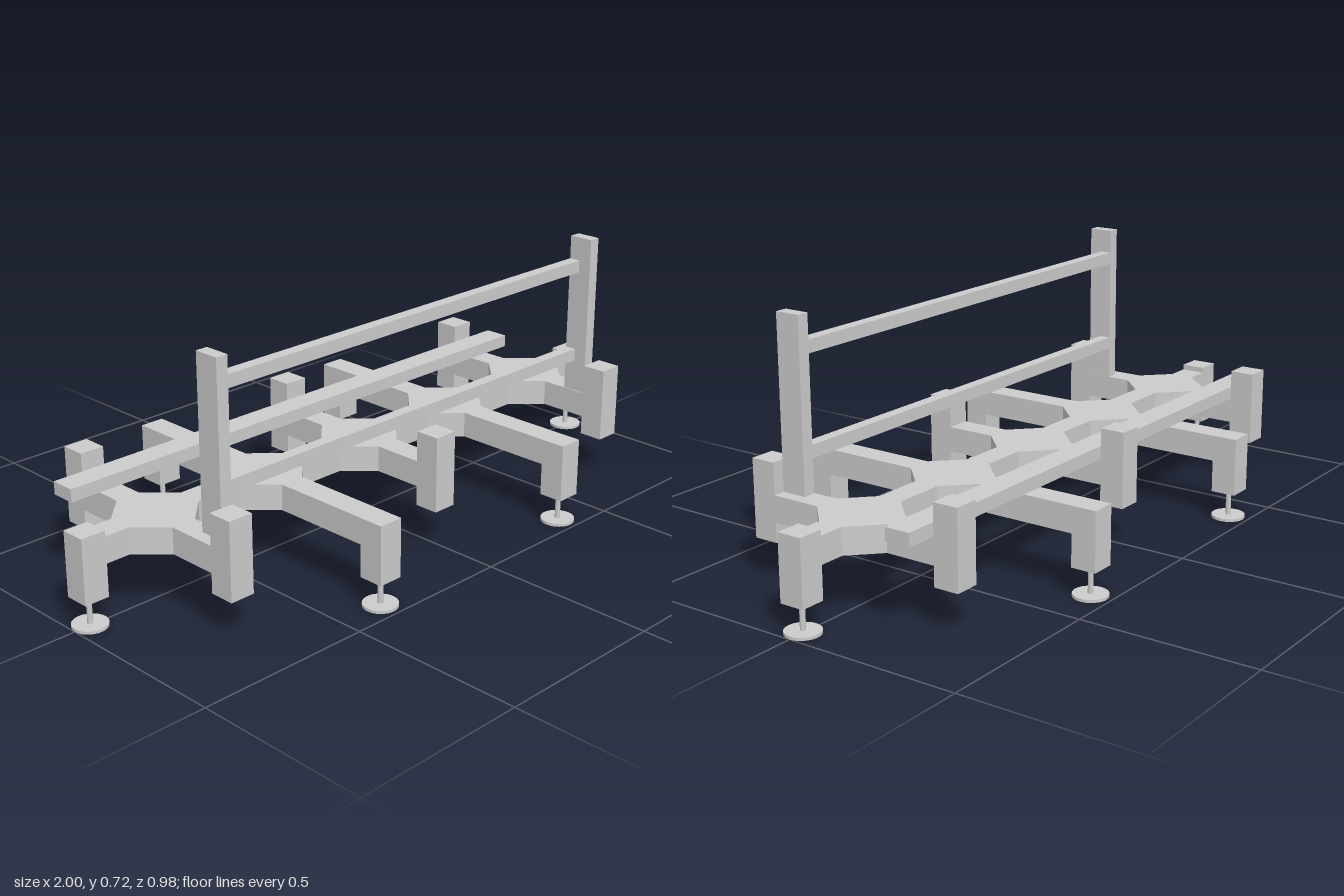
import * as THREE from 'three';

const material = new THREE.MeshStandardMaterial({ color: 0xcccccc, flatShading: true });
const smoothMaterial = new THREE.MeshStandardMaterial({ color: 0xcccccc });

// Shared dimensions
const HALF = 0.036;             // half thickness of the square beams
const HUB = 0.113;              // half width of an octagonal hub
const Y0 = 0.172, Y1 = 0.246;   // underside and top of the chassis
const END_X = 0.952, LEG_Z = 0.44, POST_Z = 0.294, RAIL_Z = 0.185;

export function createModel() {
  const model = new THREE.Group();
  model.name = 'supportFrame';

  function add(name, geometry, mat = material) {
    const mesh = new THREE.Mesh(geometry, mat);
    mesh.name = name;
    model.add(mesh);
    return mesh;
  }

  // Box given by its lower and upper bounds on each axis
  function box(name, [x0, x1], [y0, y1], [z0, z1]) {
    const g = new THREE.BoxGeometry(x1 - x0, y1 - y0, z1 - z0);
    add(name, g).position.set((x0 + x1) / 2, (y0 + y1) / 2, (z0 + z1) / 2);
  }

  const around = (c, h = HALF) => [c - h, c + h];
  const span = (a, b) => [Math.min(a, b), Math.max(a, b)];

  // Levelling foot: thin threaded stem on a round pad
  function foot(x, z) {
    add('footPad', new THREE.CylinderGeometry(0.048, 0.048, 0.008, 32), smoothMaterial)
      .position.set(x, 0.004, z);
    add('footStem', new THREE.CylinderGeometry(0.0075, 0.0075, 0.076, 16), smoothMaterial)
      .position.set(x, 0.045, z);
  }

  // Octagonal hub plate with long chamfers
  const outline = [
    [HUB, -HALF], [HUB, HALF], [HALF, HUB], [-HALF, HUB],
    [-HUB, HALF], [-HUB, -HALF], [-HALF, -HUB], [HALF, -HUB],
  ].map(([x, y]) => new THREE.Vector2(x, y));
  const hubGeometry = new THREE.ExtrudeGeometry(new THREE.Shape(outline), {
    depth: Y1 - Y0, bevelEnabled: false,
  });
  hubGeometry.rotateX(-Math.PI / 2);

  // Hubs along the spine, alternating bracket posts and legs
  const hubs = [-0.732, -0.364, 0, 0.359, 0.73];
  hubs.forEach((x, i) => {
    add('hub', hubGeometry).position.set(x, Y0, 0);
    for (const s of [-1, 1]) {
      if (i % 2) {
        const inner = LEG_Z - HALF;
        box('legArm', around(x), [Y0, Y1], span(s * HUB, s * inner));
        box('leg', around(x), [0.08, Y1], around(s * LEG_Z));
        foot(x, s * LEG_Z);
      } else {
        const inner = POST_Z - HALF;
        box('postArm', around(x), [Y0, Y1], span(s * HUB, s * inner));
        box('bracketPost', around(x), [0.116, 0.333], around(s * POST_Z));
      }
    }
  });

  // Spine segments between hubs and out to the end legs
  const stops = [-END_X + HALF, ...hubs.flatMap((x) => [x - HUB, x + HUB]), END_X - HALF];
  for (let i = 0; i < stops.length; i += 2) {
    box('spine', [stops[i], stops[i + 1]], [Y0, Y1], around(0));
  }

  // End legs and front uprights, mirrored left and right
  for (const s of [-1, 1]) {
    box('endLeg', around(s * END_X), [0.08, 0.262], around(0));
    foot(s * END_X, 0);
    box('upright', span(s * 0.697, s * 0.732), [Y1, 0.72], [RAIL_Z, POST_Z - HALF]);
  }

  // Two guard bars between the uprights
  for (const y of [0.34, 0.615]) {
    box('guardBar', [-0.697, 0.697], [y, y + 0.036], [RAIL_Z, RAIL_Z + 0.034]);
  }

  // Flat rail resting on the rear arms
  box('rearRail', [-0.857, 0.857], [Y1, 0.283], [-POST_Z + HALF, -RAIL_Z]);

  return model;
}
